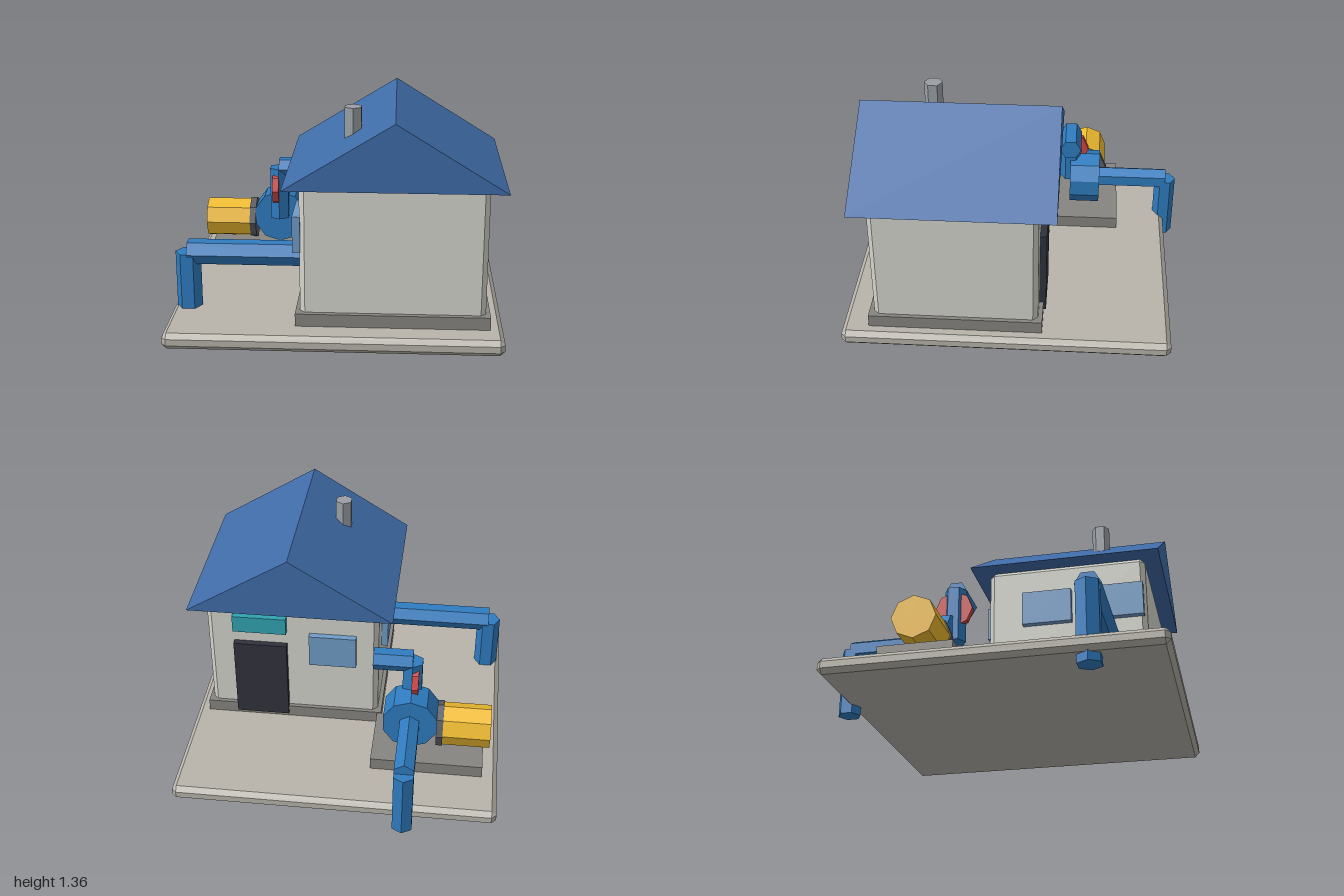
import * as THREE from 'three';
import { ConvexGeometry } from 'three/addons/geometries/ConvexGeometry.js';

const mat = (color) => new THREE.MeshStandardMaterial({ color, flatShading: true });
const M = {
  slab: mat(0xb8b4ab), plinth: mat(0x878580), wall: mat(0xd4d4cc), roof: mat(0x3f6ca8),
  chimney: mat(0x9aa0a6), door: mat(0x30323c), sign: mat(0x2fa3b0), glass: mat(0x6f9cc8),
  pipe: mat(0x2f7cc0), motor: mat(0xf0bc30), coupling: mat(0x5a5d66), wheel: mat(0xd04545),
};

function add(parent, name, geometry, material) {
  const mesh = new THREE.Mesh(geometry, material);
  mesh.name = name;
  parent.add(mesh);
  return mesh;
}

// Plain box given by its extents on each axis
function box(parent, name, material, [x0, x1], [y0, y1], [z0, z1]) {
  const g = new THREE.BoxGeometry(x1 - x0, y1 - y0, z1 - z0);
  g.translate((x0 + x1) / 2, (y0 + y1) / 2, (z0 + z1) / 2);
  return add(parent, name, g, material);
}

// Box with every edge cut at 45 degrees
function chamferBox(parent, name, material, [x0, x1], [y0, y1], [z0, z1], c) {
  const half = [(x1 - x0) / 2, (y1 - y0) / 2, (z1 - z0) / 2];
  const points = [];
  for (let axis = 0; axis < 3; axis++) {
    for (const sx of [-1, 1]) for (const sy of [-1, 1]) for (const sz of [-1, 1]) {
      const p = [sx, sy, sz].map((s, i) => s * (half[i] - (i === axis ? 0 : c)));
      points.push(new THREE.Vector3(...p));
    }
  }
  const g = new ConvexGeometry(points);
  g.translate((x0 + x1) / 2, (y0 + y1) / 2, (z0 + z1) / 2);
  return add(parent, name, g, material);
}

// Prism with regular section along one axis; x: corners point to z, y: to z, z: to y
// turn rotates the section about the axis
function prism(parent, name, material, axis, center, length, radius, sides, turn = 0) {
  const g = new THREE.CylinderGeometry(radius, radius, length, sides);
  g.rotateY(turn);
  if (axis === 'x') g.rotateZ(Math.PI / 2);
  if (axis === 'z') g.rotateX(Math.PI / 2);
  g.translate(...center);
  return add(parent, name, g, material);
}

function buildHouse() {
  const house = new THREE.Group();
  house.name = 'house';
  box(house, 'plinth', M.plinth, [-0.22, 0.89], [0.14, 0.22], [-0.18, 0.84]);
  chamferBox(house, 'walls', M.wall, [-0.195, 0.865], [0.18, 0.97], [-0.155, 0.81], 0.03);

  // Gable roof
  const gable = new THREE.Shape();
  gable.moveTo(-0.285, 0.97);
  gable.lineTo(0.96, 0.97);
  gable.lineTo(0.337, 1.355);
  const roof = new THREE.ExtrudeGeometry(gable, { depth: 1.16, bevelEnabled: false });
  roof.translate(0, 0, -0.258);
  add(house, 'roof', roof, M.roof);
  prism(house, 'chimney', M.chimney, 'y', [0.095, 1.225, 0.51], 0.26, 0.055, 6);

  // Back wall fittings
  const back = [-0.195, -0.15];
  box(house, 'door', M.door, [0.37, 0.7], [0.17, 0.7], back);
  box(house, 'doorSign', M.sign, [0.37, 0.7], [0.79, 0.9], back);
  box(house, 'backWindow', M.glass, [-0.06, 0.23], [0.575, 0.787], back);

  // Side windows
  for (const z of [0.21, 0.645]) {
    box(house, 'sideWindow', M.glass, [-0.235, -0.19], [0.575, 0.787], [z - 0.15, z + 0.15]);
  }
  return house;
}

function buildPump() {
  const pump = new THREE.Group();
  pump.name = 'pump';
  const x = -0.418, y = 0.405;
  box(pump, 'pumpPad', M.plinth, [-0.87, -0.195], [0.14, 0.22], [-0.62, -0.185]);
  prism(pump, 'pumpCasing', M.pipe, 'z', [-0.42, y, -0.4], 0.19, 0.17, 10);
  prism(pump, 'coupling', M.coupling, 'x', [-0.6, 0.365, -0.405], 0.04, 0.138, 8);
  prism(pump, 'motor', M.motor, 'x', [-0.7625, 0.365, -0.405], 0.285, 0.13, 8);

  // Intake pipe, rising through the slab
  prism(pump, 'intakeRiser', M.pipe, 'y', [x, y / 2, -0.932], y, 0.067, 6);
  prism(pump, 'intakePipe', M.pipe, 'z', [x, y, -0.7], 0.464, 0.067, 6);

  // Outlet pipe with its valve wheel
  prism(pump, 'outletRiser', M.pipe, 'y', [x, 0.576, -0.305], 0.338, 0.067, 6);
  prism(pump, 'outletPipe', M.pipe, 'x', [-0.299, 0.745, -0.305], 0.238, 0.067, 6);
  prism(pump, 'valveWheel', M.wheel, 'x', [-0.438, 0.61, -0.305], 0.04, 0.113, 8);
  return pump;
}

function buildSupply() {
  const supply = new THREE.Group();
  supply.name = 'supplyLine';
  prism(supply, 'supplyRiser', M.pipe, 'y', [-0.87, 0.2415, 0.562], 0.483, 0.075, 6, Math.PI / 6);
  prism(supply, 'supplyPipe', M.pipe, 'x', [-0.52, 0.483, 0.562], 0.7, 0.075, 6);
  return supply;
}

export function createModel() {
  const model = new THREE.Group();
  model.name = 'pumpHouse';
  chamferBox(model, 'slab', M.slab, [-0.965, 0.965], [0.05, 0.145], [-0.933, 0.997], 0.028);
  model.add(buildHouse(), buildPump(), buildSupply());
  return model;
}
